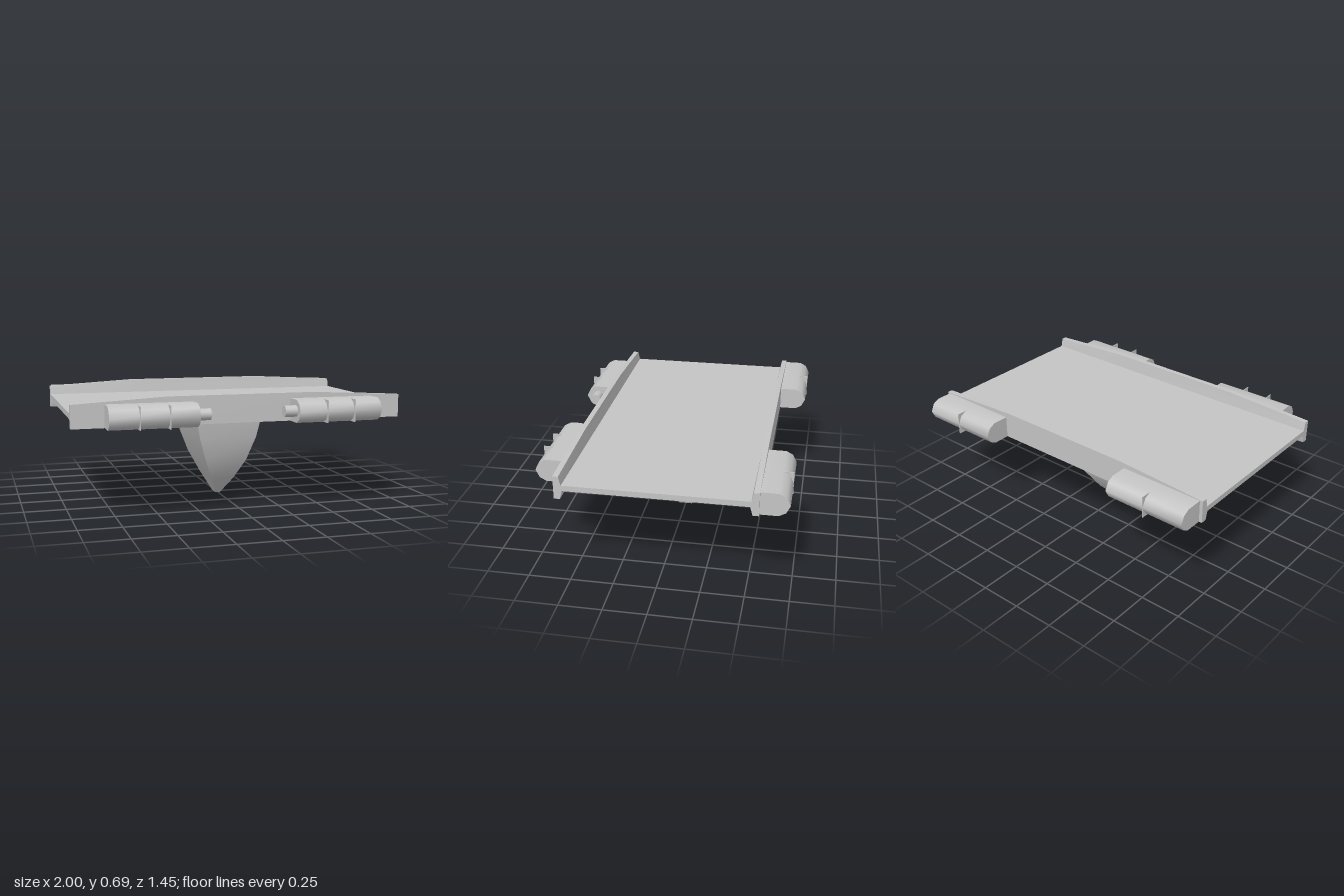
import * as THREE from 'three';
import { toCreasedNormals } from 'three/addons/utils/BufferGeometryUtils.js';

const BOTTOM = 0.526;
const grey = new THREE.MeshStandardMaterial({ color: 0xc4c4c4 });
grey.name = 'light grey';

function part(name, geometry, parent) {
  const mesh = new THREE.Mesh(geometry, grey);
  mesh.name = name;
  parent.add(mesh);
  return mesh;
}

const outline = (points) => new THREE.Shape(points.map(([x, y]) => new THREE.Vector2(x, y)));

// Extrudes a (z, y) profile along x, centred on x = 0
function extrudeAlongX(points, length, steps = 1) {
  const g = new THREE.ExtrudeGeometry(outline(points), { depth: length, steps, bevelEnabled: false });
  return g.rotateY(-Math.PI / 2).translate(length / 2, 0, 0);
}

// Deck slab, hollowed under both ends
function deckGeometry() {
  const half = [[0.73, BOTTOM], [0.745, 0.547], [0.78, 0.565], [0.85, 0.574], [1, 0.577], [1, 0.61]];
  const mirrored = half.map(([x, y]) => [-x, y]).reverse();
  const g = new THREE.ExtrudeGeometry(outline([...half, ...mirrored]), { depth: 1.05, bevelEnabled: false });
  return toCreasedNormals(g.translate(0, 0, -0.525), 0.7);
}

// Side rail with a flared inner face and a top that falls towards the ends
function railGeometry() {
  const g = extrudeAlongX([
    [0.564, BOTTOM], [0.564, 0.693], [0.532, 0.693], [0.528, 0.66],
    [0.52, 0.61], [0.515, 0.577], [0.529, BOTTOM],
  ], 2, 3);
  const p = g.attributes.position;
  for (let i = 0; i < p.count; i++) {
    const x = p.getX(i);
    if (Math.abs(x) < 0.5) p.setX(i, Math.sign(x) * 0.45);
    else if (p.getY(i) > 0.68) p.setY(i, 0.663);
    else if (p.getY(i) > 0.65) p.setY(i, 0.645);
  }
  return toCreasedNormals(g, 0.6);
}

// Pod with a flat back and a rounded outer side
function podGeometry() {
  return toCreasedNormals(extrudeAlongX([
    [0.56, BOTTOM], [0.665, BOTTOM], [0.704, 0.546], [0.727, 0.593],
    [0.704, 0.64], [0.665, 0.66], [0.56, 0.66],
  ], 0.514), 0.95);
}

// Rectangular keel tapering in curved steps to a small foot
function keelGeometry() {
  const rows = [ // y, half width, half depth
    [0.53, 0.21, 0.296], [0.39, 0.18, 0.275], [0.24, 0.13, 0.23], [0.11, 0.07, 0.148], [0, 0.016, 0.04],
  ];
  const g = new THREE.BoxGeometry(2, 4, 2, 1, 4, 1);
  const p = g.attributes.position;
  for (let i = 0; i < p.count; i++) {
    const [y, w, d] = rows[Math.round(2 - p.getY(i))];
    p.setXYZ(i, p.getX(i) * w, y, p.getZ(i) * d);
  }
  return toCreasedNormals(g, 0.6);
}

export function createModel() {
  const model = new THREE.Group();
  model.name = 'platform';
  part('deck', deckGeometry(), model);
  part('keel', keelGeometry(), model);

  const rail = railGeometry();
  const pod = podGeometry();
  const fin = new THREE.BoxGeometry(0.004, 0.66 - BOTTOM, 0.164);
  const nozzle = new THREE.CylinderGeometry(0.034, 0.034, 0.08, 20).rotateZ(Math.PI / 2);

  // Front side has nozzles and paired fins; back pods sit further out with one fin
  const sides = [
    { name: 'front', turn: 0, podX: 0.553, fins: [-0.085, 0.085], nozzle: true },
    { name: 'back', turn: Math.PI, podX: 0.724, fins: [0], nozzle: false },
  ];
  for (const side of sides) {
    const group = new THREE.Group();
    group.name = side.name + 'Side';
    group.rotation.y = side.turn;
    model.add(group);
    part(side.name + 'Rail', rail, group);
    for (const s of [-1, 1]) {
      part(side.name + 'Pod', pod, group).position.x = s * side.podX;
      for (const offset of side.fins) {
        part(side.name + 'Fin', fin, group).position.set(s * side.podX + offset, (0.66 + BOTTOM) / 2, 0.645);
      }
      if (side.nozzle) part('nozzle', nozzle, group).position.set(s * 0.262, 0.595, 0.652);
    }
  }
  return model;
}
